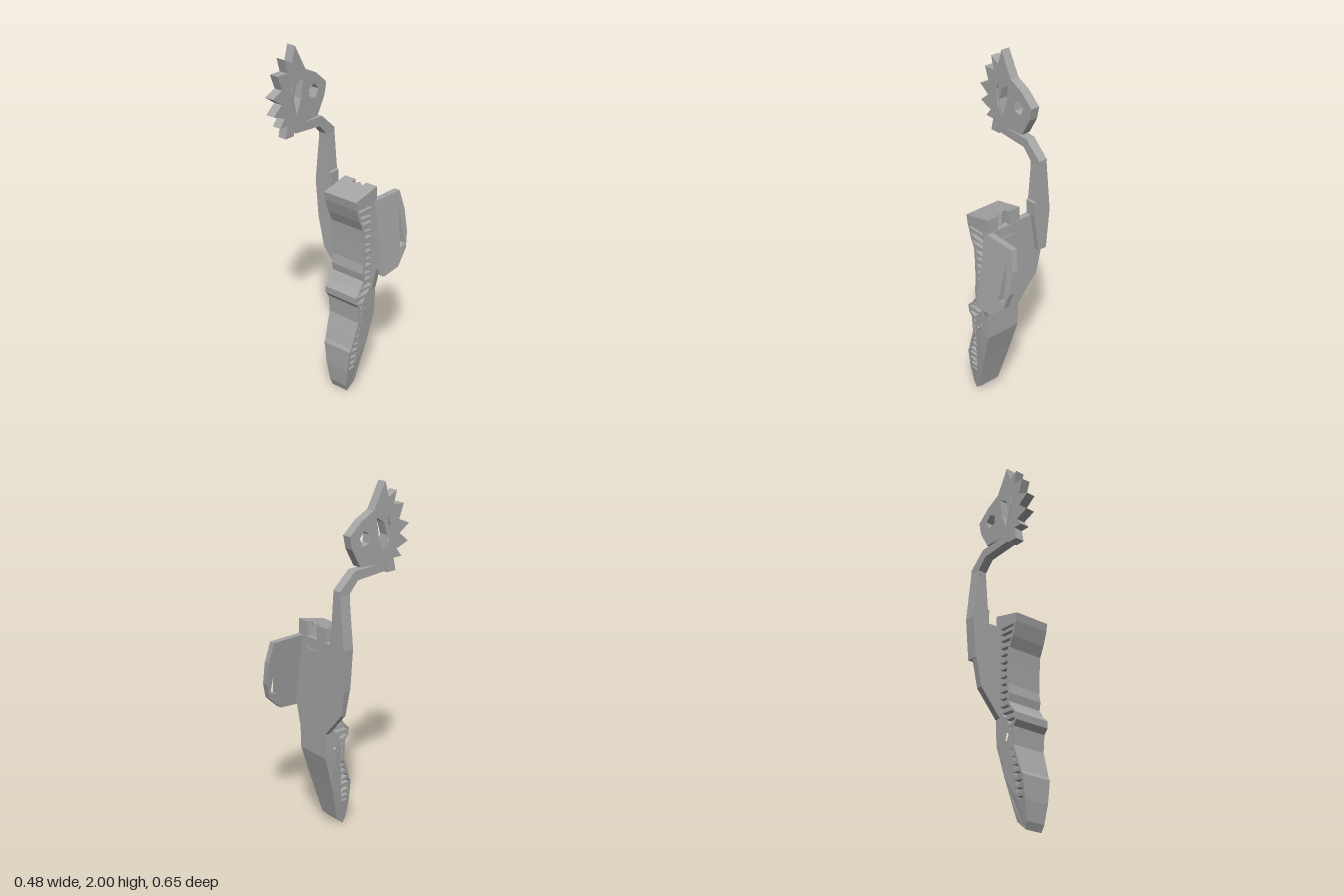
import * as THREE from 'three';

const grey = new THREE.MeshStandardMaterial({ color: 0xa6a6a6 });
grey.name = 'plain grey';

const lerp = THREE.MathUtils.lerp;
// Piecewise-linear lookup in rows of [key, value], keys ascending
function sample(rows, k) {
  if (k <= rows[0][0]) return rows[0][1];
  for (let i = 1; i < rows.length; i++) {
    const [a, va] = rows[i - 1], [b, vb] = rows[i];
    if (k <= b) return lerp(va, vb, (k - a) / (b - a));
  }
  return rows[rows.length - 1][1];
}

const toShape = (pts, holes = []) => {
  const s = new THREE.Shape(pts.map(p => new THREE.Vector2(...p)));
  holes.forEach(h => s.holes.push(new THREE.Path(h.map(p => new THREE.Vector2(...p)))));
  return s;
};

function extrude(pts, depth, holes) {
  return new THREE.ExtrudeGeometry(toShape(pts, holes), { depth, bevelEnabled: false });
}

// Plate outlined in (z, y), spanning x0..x1
function sidePlate(pts, x0, x1, holes) {
  return extrude(pts, x1 - x0, holes).rotateY(-Math.PI / 2).translate(x1, 0, 0);
}

// Plate outlined in (x, y), spanning z0..z1
const facePlate = (pts, z0, z1) => extrude(pts, z1 - z0).translate(0, 0, z0);

// Move every vertex by a rule and refresh the flat normals
function warp(geo, rule) {
  const p = geo.attributes.position, v = new THREE.Vector3();
  for (let i = 0; i < p.count; i++) {
    v.fromBufferAttribute(p, i);
    rule(v);
    p.setXYZ(i, v.x, v.y, v.z);
  }
  geo.computeVertexNormals();
  return geo;
}

// Body: half width by height, centred on x = MID
const MID = 0.057;
const halfWidth = [[0, 0.053], [0.15, 0.077], [0.3, 0.095], [0.45, 0.105], [0.6, 0.11]];
const taper = (geo, inset = 0) => warp(geo, v => {
  v.x = MID + Math.sign(v.x) * (sample(halfWidth, v.y) - inset);
});
const bodySlice = (pts, inset, holes) => taper(sidePlate(pts, -1, 1, holes), inset);

// Body contour: front from top to bottom, back from bottom to top, as (z, y)
const front = [
  [0.058, 1.15], [0.032, 1.07], [0.005, 1.01], [0, 0.93], [-0.005, 0.8], [0.004, 0.745],
  [-0.004, 0.7], [0.025, 0.655], [0.06, 0.62], [0.058, 0.58], [0.035, 0.55], [0.03, 0.45],
  [0.06, 0.36], [0.078, 0.3], [0.09, 0.28], [0.09, 0.15], [0.08, 0.04], [0.065, 0],
];
const back = [[0.01, 0.05], [-0.015, 0.15], [-0.055, 0.3], [-0.105, 0.475], [-0.108, 0.72], [-0.107, 1.15]];
const spine = [[-0.07, 1.15], [-0.07, 0.66], [0.0, 0.57], [0.012, 0.47], [0.03, 0.16]];
const frontByY = front.map(([z, y]) => [y, z]).reverse();
const spineByY = spine.map(([z, y]) => [y, z]).reverse();

export function createModel() {
  const model = new THREE.Group();
  const add = (name, geo, parent = model) => {
    const mesh = new THREE.Mesh(geo, grey);
    mesh.name = name;
    parent.add(mesh);
    return mesh;
  };

  // Tapered body: recessed core, full-width back rail and front skin
  const body = new THREE.Group();
  body.name = 'body';
  model.add(body);
  const slot = [[-0.005, 0.515], [-0.02, 0.48], [-0.06, 0.5], [-0.045, 0.55]];
  const coreFront = front.slice(0, -2).map(([z, y]) => [z - 0.004, y]);
  add('core', bodySlice([...coreFront, ...back.slice(1)], 0.025, [slot]), body);
  const foot = [[0.09, 0.15], [0.08, 0.04], [0.065, 0]];
  add('backRail', bodySlice([...spine, ...foot, ...back], 0, [slot]), body);
  const skinBack = front.slice(0, -2).map(([z, y]) => [z - 0.014, y]).reverse();
  add('frontSkin', bodySlice([...front.slice(0, -2), ...skinBack], 0), body);

  // Slanted ribs along both flanks
  for (let i = 0; i < 23; i++) {
    const y = 0.17 + i * 0.0425;
    const f = h => sample(frontByY, h) - 0.004, s = h => sample(spineByY, h) - 0.01;
    const top = y + 0.022, lift = i % 2 ? 0.012 : 0.004;
    add('rib', bodySlice([[f(y), y], [f(top), top], [s(top), top - lift], [s(y), y + lift / 3]], 0), body);
  }

  // Sloping cap with a notch in its rear edge
  const cap = extrude([
    [-0.053, -0.065], [0.167, -0.065], [0.167, 0.107], [0.095, 0.107], [0.09, 0.075],
    [0.06, 0.098], [0.045, 0.08], [0.02, 0.075], [0.02, 0.107], [-0.053, 0.107],
  ], 1).rotateX(-Math.PI / 2);
  add('cap', warp(cap, v => {
    if (v.y > 0.5) v.y = 1.195 + (0.065 - v.z) * 0.22;
    else {
      v.y = 1.14;
      v.z = Math.min(v.z, 0.055);
    }
  }), body);

  // Eight-sided plate behind the body, with a thin raised panel
  add('backPlate', facePlate([
    [-0.15, 1.155], [-0.21, 1.1], [-0.22, 0.95], [-0.18, 0.77], [-0.05, 0.62],
    [0.165, 0.62], [0.195, 0.75], [0.167, 1.15],
  ], -0.11, -0.075));
  add('backPanel', facePlate([
    [0.1, 0.82], [0.1, 1.09], [0.0, 1.09], [0.0, 0.99], [0.01, 0.99], [0.01, 0.82],
  ], -0.115, -0.109));

  // Wing panel leaning outwards, with a three-cornered opening
  const wing = sidePlate([
    [-0.09, 1.15], [-0.3, 1.145], [-0.325, 1.03], [-0.325, 0.9],
    [-0.3, 0.81], [-0.215, 0.73], [-0.09, 0.72],
  ], 0.135, 0.17, [[[-0.275, 1.08], [-0.252, 0.83], [-0.297, 0.84]]]);
  add('wing', warp(wing, v => { v.x += (1.15 - v.y) * 0.16; }));

  // Arm: flared lower part and bent upper part
  const arm = new THREE.Group();
  arm.name = 'arm';
  model.add(arm);
  add('lowerArm', facePlate([
    [-0.21, 1.45], [-0.24, 1.165], [-0.22, 0.93], [-0.165, 0.93],
    [-0.13, 1.16], [-0.13, 1.235], [-0.14, 1.24], [-0.157, 1.45],
  ], -0.14, -0.077), arm);
  add('upperArm', sidePlate([
    [-0.075, 1.43], [-0.075, 1.455], [-0.02, 1.515], [0.165, 1.53],
    [0.17, 1.575], [-0.04, 1.567], [-0.14, 1.475], [-0.14, 1.43],
  ], -0.21, -0.157), arm);

  // Flat spiked head with cut-out eye and crescents
  add('head', sidePlate([
    [0.16, 2], [0.085, 1.86], [0.005, 1.82], [-0.075, 1.75], [-0.06, 1.68], [-0.005, 1.58],
    [0.175, 1.57], [0.18, 1.52], [0.24, 1.52], [0.225, 1.59], [0.28, 1.59], [0.245, 1.635],
    [0.325, 1.665], [0.265, 1.715], [0.33, 1.76], [0.26, 1.79], [0.29, 1.87], [0.22, 1.87],
    [0.24, 1.945], [0.185, 1.915],
  ], -0.21, -0.157, [
    [[0.06, 1.74], [0.02, 1.765], [-0.01, 1.73], [0.01, 1.685], [0.055, 1.695]],
    [[0.105, 1.82], [0.155, 1.79], [0.175, 1.72], [0.155, 1.63], [0.12, 1.71]],
    [[0.18, 1.825], [0.2, 1.77], [0.195, 1.7], [0.17, 1.64], [0.188, 1.76]],
  ]));

  return model;
}
